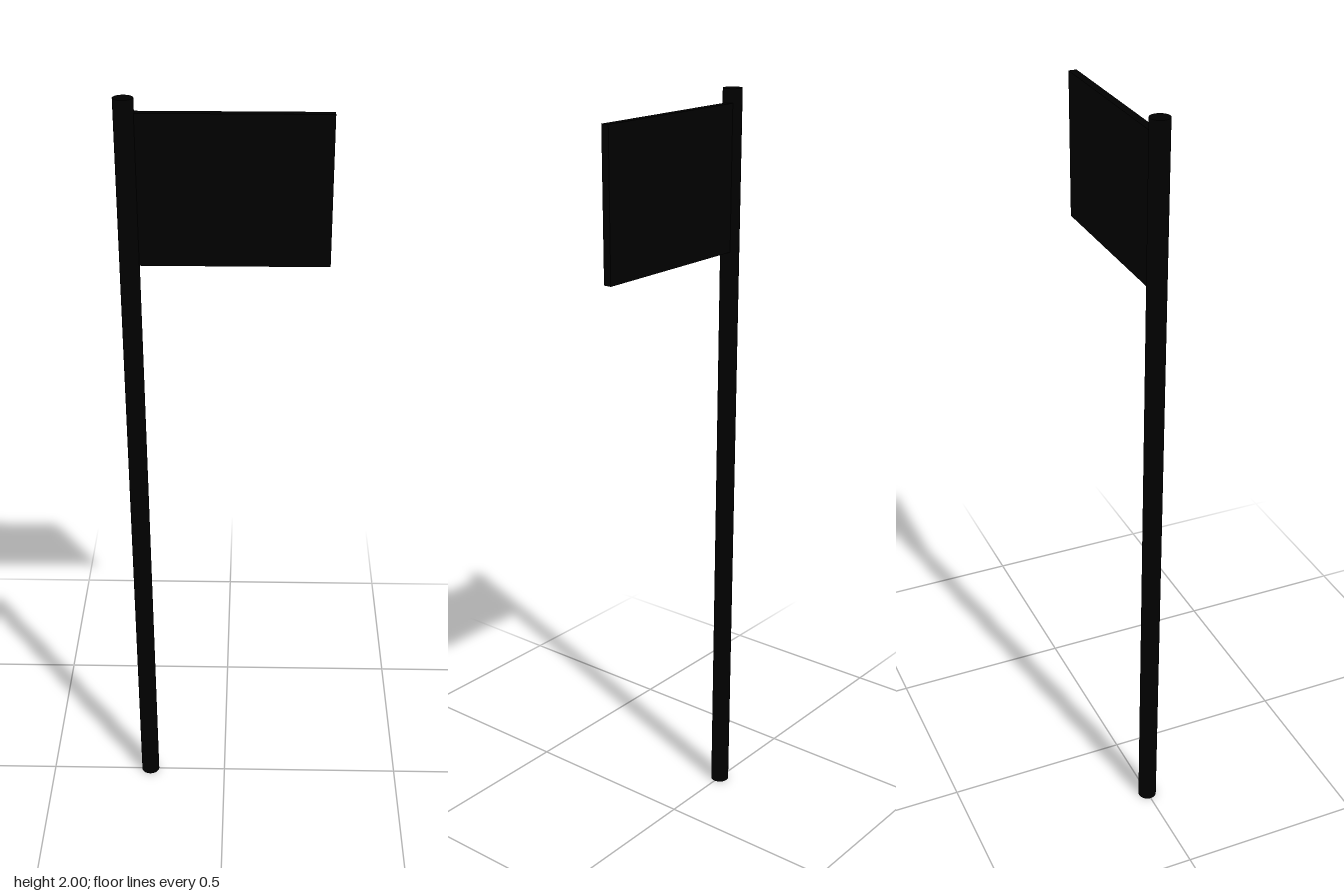
import * as THREE from 'three';

export function createModel() {
  const model = new THREE.Group();
  const material = new THREE.MeshStandardMaterial({ color: 0x000000 });

  const add = (name, geometry, x, y, z) => {
    const mesh = new THREE.Mesh(geometry, material);
    mesh.name = name;
    mesh.position.set(x, y, z);
    model.add(mesh);
  };

  // Round pole, leaning slightly away from the flag
  const pole = new THREE.CylinderGeometry(0.025, 0.025, 2, 20);
  pole.applyMatrix4(new THREE.Matrix4().makeShear(0, 0, -0.009, 0, 0, 0));
  const pos = pole.attributes.position;
  // Lean is sideways with height; keep the ends level
  const lean = -0.009;
  const straight = new THREE.CylinderGeometry(0.025, 0.025, 2, 20).attributes.position;
  for (let i = 0; i < pos.count; i++) {
    pos.setXYZ(i, straight.getX(i) + lean * straight.getY(i), straight.getY(i), straight.getZ(i));
  }
  pole.computeBoundingSphere();
  add('pole', pole, -0.227, 1, 0);

  // Flat rigid flag, its inner edge set into the pole
  const left = -0.235, right = 0.259, bottom = 1.588, top = 1.965;
  add('flag', new THREE.BoxGeometry(right - left, top - bottom, 0.021),
    (left + right) / 2, (bottom + top) / 2, -0.005);

  return model;
}
